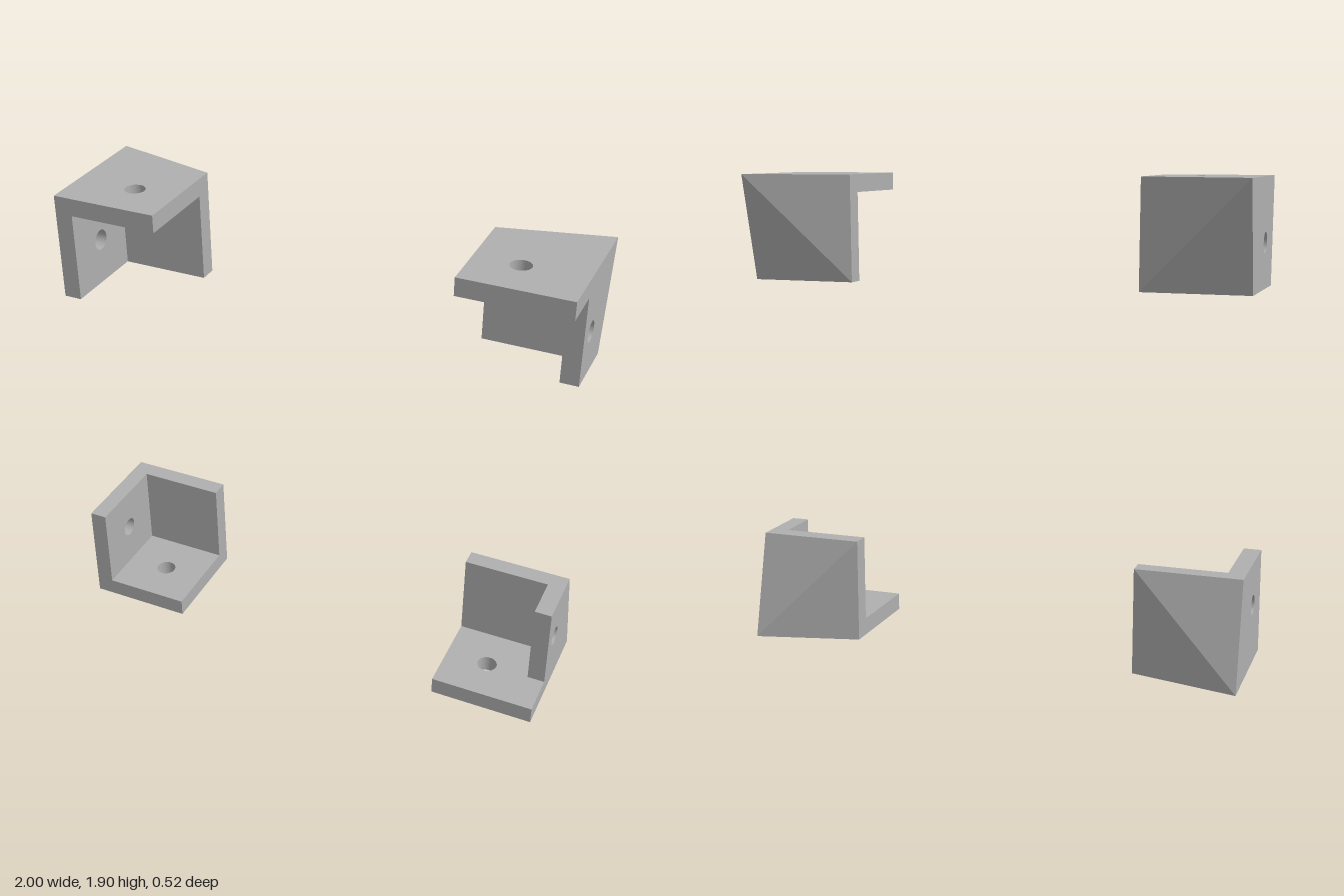
import * as THREE from 'three';

const SIZE = 0.42, T = 0.07, HOLE = 0.04, HEIGHT = 1.9;
const BACK = -0.16, INNER = BACK + T, FRONT = 0.26, PEAK = -0.26;

// Flat plate with a round screw hole, drawn in xy and extruded by the wall thickness
function plate(x0, x1, y0, y1, hx, hy) {
  const s = new THREE.Shape();
  s.moveTo(x0, y0).lineTo(x1, y0).lineTo(x1, y1).lineTo(x0, y1).closePath();
  s.holes.push(new THREE.Path().absarc(hx, hy, HOLE, 0, Math.PI * 2, true));
  return new THREE.ExtrudeGeometry(s, { depth: T, bevelEnabled: false, curveSegments: 20 });
}

// Shallow faceted back rising to a point at the outer corner
function facetedBack(ox, oy, ix, iy, flip) {
  const tip = [ox, oy, PEAK];
  const ring = [[ix, oy, BACK], [ix, iy, BACK], [ox, iy, BACK], [ox, oy, BACK]];
  const pos = [];
  for (let i = 0; i < 4; i++) {
    const a = ring[i], b = ring[(i + 1) % 4];
    pos.push(...tip, ...(flip ? b : a), ...(flip ? a : b));
  }
  const g = new THREE.BufferGeometry();
  g.setAttribute('position', new THREE.Float32BufferAttribute(pos, 3));
  g.computeVertexNormals();
  return g;
}

// One corner bracket; sx = side, sy = -1 bottom or 1 top
function bracket(sx, sy, material) {
  const group = new THREE.Group();
  const add = (name, geometry) => {
    const m = new THREE.Mesh(geometry, material);
    m.name = name;
    group.add(m);
    return m;
  };
  const ox = sx, ix = sx * (1 - SIZE);
  const oy = sy > 0 ? HEIGHT : 0, iy = oy - sy * SIZE;
  const wallY = oy - sy * T;
  const holeOffset = (SIZE + T) / 2;

  // horizontal plate with hole
  const flat = plate(Math.min(ox, ix), Math.max(ox, ix), -FRONT, -INNER,
    ox - sx * holeOffset, -(FRONT + INNER) / 2);
  flat.rotateX(-Math.PI / 2).translate(0, Math.min(oy, wallY), 0);
  add('horizontalPlate', flat);

  // side plate with hole, shorter on the +x brackets
  const sideFront = sx > 0 ? 0.09 : FRONT;
  const side = plate(-sideFront, -INNER, Math.min(wallY, iy), Math.max(wallY, iy),
    -(sideFront + INNER) / 2, oy - sy * holeOffset);
  side.rotateY(Math.PI / 2).translate(Math.min(ox, ox - sx * T), 0, 0);
  add('sidePlate', side);

  // back wall and its pointed outer surface
  add('backWall', new THREE.BoxGeometry(SIZE, SIZE, T))
    .position.set((ox + ix) / 2, (oy + iy) / 2, (BACK + INNER) / 2);
  add('facetedBack', facetedBack(ox, oy, ix, iy, sx * sy > 0));
  return group;
}

export function createModel() {
  const model = new THREE.Group();
  model.name = 'cornerBrackets';
  const grey = new THREE.MeshStandardMaterial({ color: 0xb0b0b0 });
  grey.name = 'grey';
  for (const sx of [-1, 1]) {
    for (const sy of [-1, 1]) {
      const b = bracket(sx, sy, grey);
      b.name = (sy > 0 ? 'top' : 'bottom') + (sx > 0 ? 'Left' : 'Right') + 'Bracket';
      model.add(b);
    }
  }
  return model;
}
